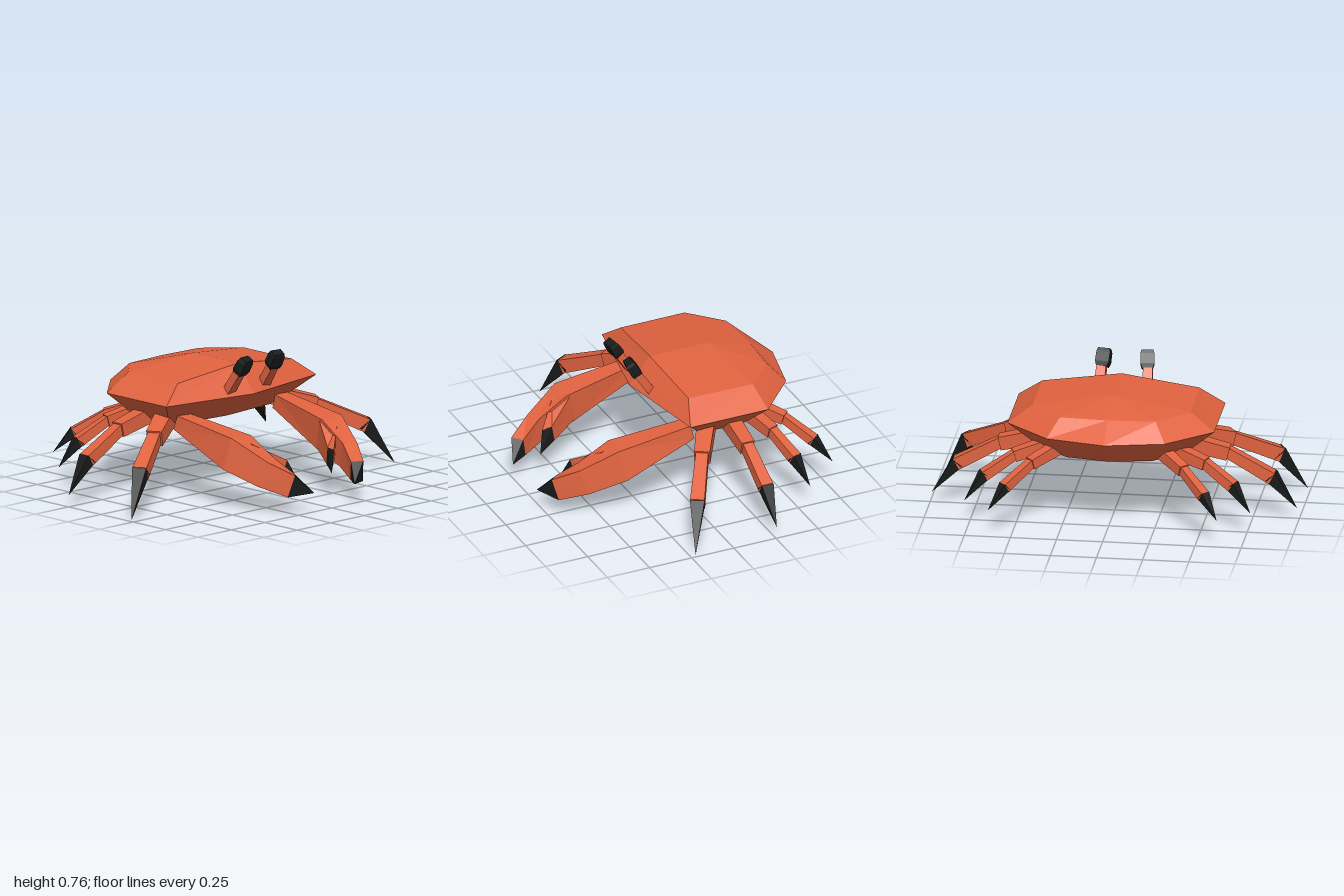
import * as THREE from 'three';

const shell = new THREE.MeshStandardMaterial({ color: 0xe0623f, flatShading: true });
const dark = new THREE.MeshStandardMaterial({ color: 0x1a1c1c, flatShading: true });
const V = (a) => new THREE.Vector3(a[0], a[1], a[2]);

// Faceted solid through rings of equal corner count, always facing outwards
function loft(name, rings, material) {
  const tris = [], n = rings[0].length, last = rings.length - 1;
  const add = (a, b, c) => {
    const area = b.clone().sub(a).cross(c.clone().sub(a)).length();
    if (area > 1e-7) tris.push([a, b, c]);
  };
  for (let i = 0; i < last; i++) {
    for (let j = 0; j < n; j++) {
      const k = (j + 1) % n, p = rings[i], q = rings[i + 1];
      add(p[j], p[k], q[k]);
      add(p[j], q[k], q[j]);
    }
  }
  for (let j = 1; j < n - 1; j++) {
    add(rings[0][0], rings[0][j + 1], rings[0][j]);
    add(rings[last][0], rings[last][j], rings[last][j + 1]);
  }
  const o = rings[0][0];
  let volume = 0;
  for (const [a, b, c] of tris) {
    volume += a.clone().sub(o).dot(b.clone().sub(o).cross(c.clone().sub(o)));
  }
  const pos = tris.flatMap(([a, b, c]) => (volume < 0 ? [a, c, b] : [a, b, c])).flatMap((v) => v.toArray());
  const g = new THREE.BufferGeometry();
  g.setAttribute('position', new THREE.Float32BufferAttribute(pos, 3));
  g.computeVertexNormals();
  const mesh = new THREE.Mesh(g, material);
  mesh.name = name;
  return mesh;
}

// Four-sided bar along a straight line; stations are [t, width, height]
function bar(name, from, to, stations, material) {
  const a = V(from), b = V(to);
  const dir = b.clone().sub(a).normalize();
  const side = dir.clone().cross(new THREE.Vector3(0, 1, 0)).normalize();
  const up = side.clone().cross(dir);
  const rings = stations.map(([t, w, h]) => [[-1, -1], [1, -1], [1, 1], [-1, 1]].map(([u, v]) =>
    a.clone().lerp(b, t).addScaledVector(side, u * w / 2).addScaledVector(up, v * h / 2)));
  return loft(name, rings, material);
}

// Full eight-corner ring from five corners on one side
function mirrorRing(half) {
  return [...half, ...half.slice(1, 4).reverse().map(([x, y, z]) => [x, y, -z])].map(V);
}

function makeBody() {
  return loft('carapace', [
    [[-0.52, 0.375, 0], [-0.48, 0.375, 0.23], [-0.34, 0.375, 0.39], [-0.1, 0.375, 0.39], [-0.06, 0.375, 0]],
    [[-0.7, 0.53, 0], [-0.63, 0.53, 0.32], [-0.41, 0.53, 0.56], [0.05, 0.53, 0.56], [0.15, 0.53, 0]],
    [[-0.56, 0.625, 0], [-0.545, 0.625, 0.26], [-0.38, 0.628, 0.43], [0, 0.63, 0.425], [0.03, 0.68, 0]],
    [[-0.31, 0.68, 0], [-0.31, 0.68, 0], [-0.31, 0.68, 0], [0.03, 0.68, 0], [0.03, 0.68, 0]],
  ].map(mirrorRing), shell);
}

// Hip, knee, claw joint, point, thickness; front pair to rear pair
const LEGS = [
  [[-0.13, 0.425, 0.38], [0, 0.355, 0.6], [0.14, 0.225, 0.84], [0.22, 0, 0.985], 0.078],
  [[-0.26, 0.425, 0.36], [-0.26, 0.365, 0.62], [-0.26, 0.235, 0.855], [-0.26, 0.06, 0.99], 0.068],
  [[-0.39, 0.415, 0.34], [-0.455, 0.365, 0.52], [-0.515, 0.265, 0.675], [-0.56, 0.13, 0.775], 0.056],
  [[-0.45, 0.415, 0.29], [-0.575, 0.365, 0.415], [-0.69, 0.265, 0.54], [-0.765, 0.155, 0.62], 0.052],
];

function makeLeg([hip, knee, joint, point, w], flip) {
  const leg = new THREE.Group();
  leg.name = 'leg';
  const [h, k, j, p] = [hip, knee, joint, point].map(flip);
  leg.add(
    bar('upperLeg', h, k, [[0, w * 1.25, w * 1.25], [1, w * 1.1, w * 1.1]], shell),
    bar('lowerLeg', k, j, [[-0.08, w * 0.85, w * 0.85], [1, w, w]], shell),
    bar('legTip', j, p, [[-0.05, w * 1.02, w * 1.02], [1, 0, 0]], dark));
  return leg;
}

function makeClaw(flip) {
  const claw = new THREE.Group();
  claw.name = 'claw';
  // Corner order: outer top, inner top, inner bottom, outer bottom
  const root = [[-0.02, 0.445, 0.41], [-0.02, 0.445, 0.32], [-0.04, 0.37, 0.32], [-0.04, 0.37, 0.42]];
  const palm = [[0.4, 0.39, 0.41], [0.4, 0.385, 0.265], [0.34, 0.215, 0.28], [0.37, 0.22, 0.445]];
  const bend = [[0.6, 0.28, 0.335], [0.57, 0.285, 0.255], [0.53, 0.15, 0.27], [0.56, 0.145, 0.37]];
  const end = [[0.73, 0.215, 0.255], [0.68, 0.21, 0.21], [0.66, 0.105, 0.225], [0.7, 0.095, 0.28]];
  const point = Array(4).fill([0.77, 0.11, 0.15]);
  const thumbRoot = [[0.46, 0.355, 0.32], [0.38, 0.375, 0.265], [0.34, 0.225, 0.28], [0.44, 0.2, 0.33]];
  const thumbEnd = [[0.585, 0.265, 0.175], [0.52, 0.265, 0.19], [0.5, 0.17, 0.2], [0.56, 0.165, 0.19]];
  const thumbPoint = Array(4).fill([0.62, 0.15, 0.125]);
  const part = (name, rings, mat) => claw.add(loft(name, rings.map((r) => r.map((c) => V(flip(c)))), mat));
  part('clawArm', [root, palm, bend, end], shell);
  part('clawTip', [end, point], dark);
  part('innerFinger', [thumbRoot, thumbEnd], shell);
  part('innerFingerTip', [thumbEnd, thumbPoint], dark);
  return claw;
}

function makeEye(flip) {
  const eye = new THREE.Group();
  eye.name = 'eye';
  eye.add(
    bar('eyeStalk', flip([0.085, 0.55, 0.13]), flip([0.175, 0.685, 0.125]), [[0, 0.06, 0.045], [1, 0.05, 0.045]], shell),
    bar('eyeball', flip([0.163, 0.665, 0.122]), flip([0.213, 0.75, 0.115]),
      [[0, 0.06, 0.052], [0.25, 0.076, 0.06], [0.8, 0.076, 0.052], [1, 0.064, 0.042]], dark));
  return eye;
}

export function createModel() {
  const crab = new THREE.Group();
  crab.name = 'crab';
  crab.add(makeBody());
  // Limbs and eyes on both sides
  for (const s of [1, -1]) {
    const flip = ([x, y, z]) => [x, y, z * s];
    LEGS.forEach((l) => crab.add(makeLeg(l, flip)));
    crab.add(makeClaw(flip), makeEye(flip));
  }
  return crab;
}
